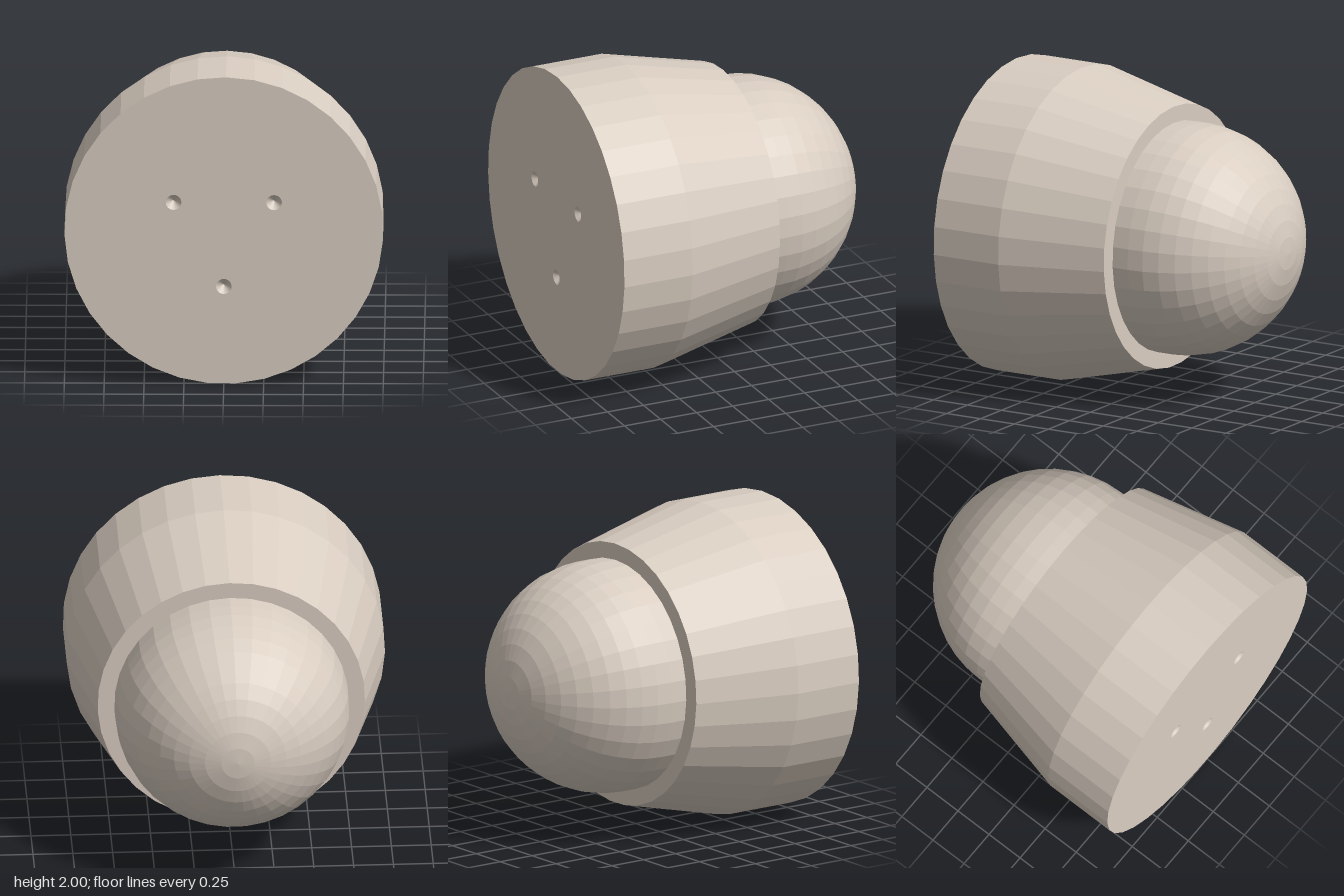
import * as THREE from 'three';

const SIDES = 35;                       // facets around the main axis
const TURN = THREE.MathUtils.degToRad(0.8);
const HOLE_SIDES = 24;

const material = new THREE.MeshStandardMaterial({ color: 0xd9cdc1, flatShading: true });

// Revolve [radius, z] points (listed back to front) around the z axis
function turned(name, points, sides = SIDES, turn = TURN) {
  const profile = points.map(([r, z]) => new THREE.Vector2(r, z));
  const geometry = new THREE.LatheGeometry(profile, sides, Math.PI - turn);
  geometry.rotateX(Math.PI / 2);
  const mesh = new THREE.Mesh(geometry, material);
  mesh.name = name;
  return mesh;
}

// Regular polygon with its first corner near the top
function ring(radius, sides, turn, x = 0, y = 0) {
  return Array.from({ length: sides }, (_, i) => {
    const a = turn - (i / sides) * Math.PI * 2;
    return new THREE.Vector2(x + radius * Math.sin(a), y + radius * Math.cos(a));
  });
}

export function createModel() {
  const group = new THREE.Group();
  group.name = 'ballEndedPlug';

  // Body: straight front band, tapered shoulder, flat back rim
  group.add(turned('body', [[0.72, -0.155], [0.84, -0.155], [1, 0.525], [1, 1]]));

  // Rounded back: hemisphere on a short straight neck
  const radius = 0.735, centre = -0.265, steps = 11;
  const dome = [];
  for (let i = 0; i <= steps; i++) {
    const a = (i / steps) * Math.PI / 2;
    dome.push([radius * Math.sin(a), centre - radius * Math.cos(a)]);
  }
  dome.push([radius, -0.155]);
  group.add(turned('dome', dome));

  // Front face with three conical dimples
  const holeRadius = 0.049, holeDepth = 0.05;
  const centres = [[-0.315, 0.183], [0.315, 0.183], [0, -0.365]];
  const face = new THREE.Shape(ring(1, SIDES, TURN));
  for (const [x, y] of centres) {
    face.holes.push(new THREE.Path(ring(holeRadius, HOLE_SIDES, 0, x, y)));
    const dimple = turned('dimple', [[holeRadius, 0], [0, -holeDepth]], HOLE_SIDES, 0);
    dimple.position.set(x, y, 1);
    group.add(dimple);
  }
  const front = new THREE.Mesh(new THREE.ShapeGeometry(face), material);
  front.name = 'frontFace';
  front.position.z = 1;
  group.add(front);

  // Rest the model on the ground
  for (const part of group.children) part.position.y += 1;
  return group;
}
